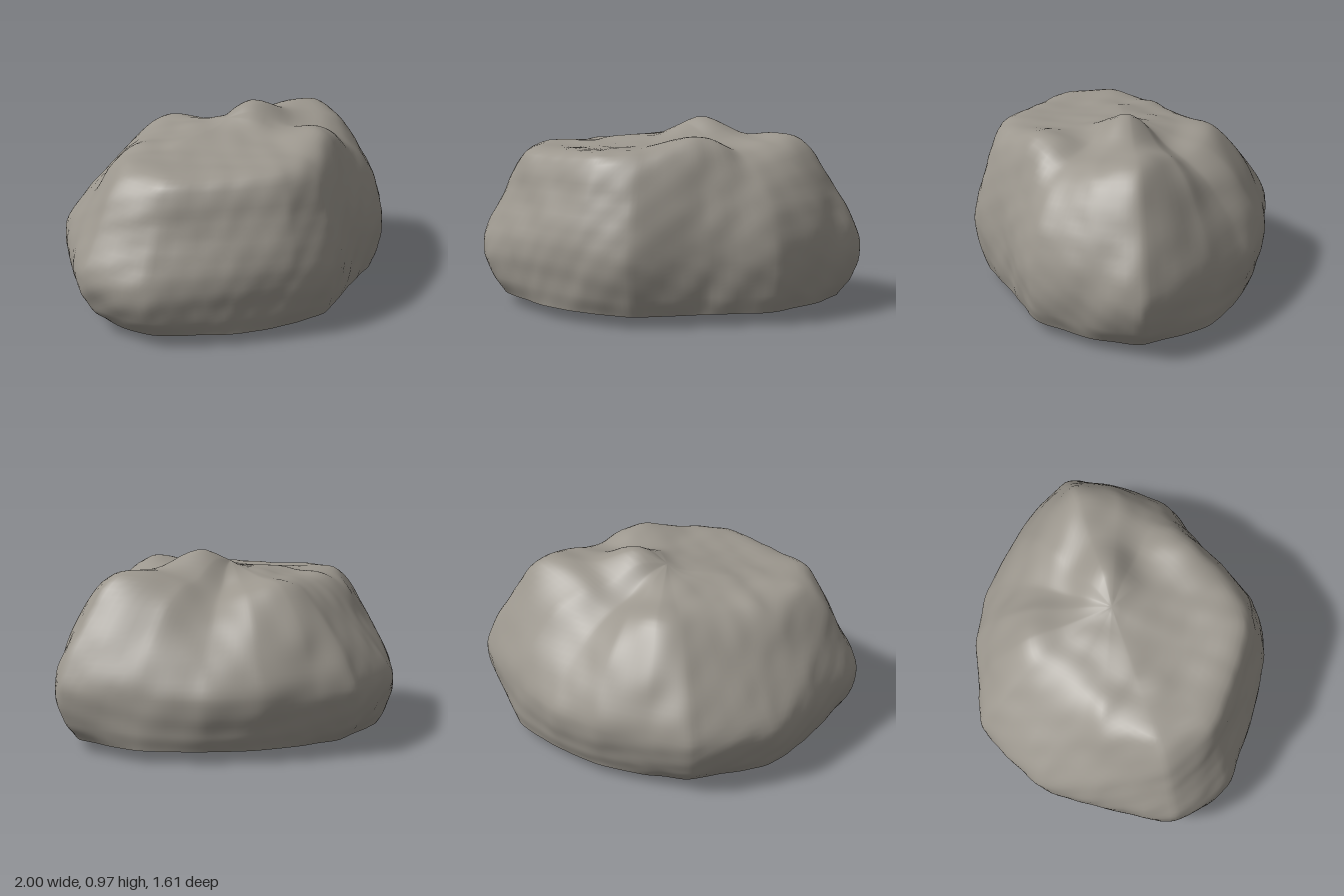
import * as THREE from 'three';
import { mergeVertices } from 'three/addons/utils/BufferGeometryUtils.js';

// Upright sections around the boulder:
// [angle from +x towards +z, radius at base, at belly, at shoulder, at rim, rim height]
const SECTIONS = [
  [3, 0.88, 1.00, 0.88, 0.67, 0.85],
  [22, 0.83, 0.89, 0.82, 0.65, 0.83],
  [42, 0.78, 0.84, 0.76, 0.58, 0.80],
  [67, 0.69, 0.72, 0.67, 0.56, 0.83],
  [95, 0.74, 0.80, 0.74, 0.61, 0.83],
  [113, 0.76, 0.81, 0.77, 0.66, 0.82],
  [135, 0.80, 0.84, 0.77, 0.67, 0.81],
  [160, 0.88, 0.96, 0.84, 0.75, 0.80],
  [180, 0.87, 1.01, 0.88, 0.73, 0.81],
  [203, 0.80, 0.87, 0.73, 0.55, 0.81],
  [225, 0.77, 0.85, 0.65, 0.44, 0.80],
  [255, 0.71, 0.83, 0.67, 0.48, 0.79],
  [271, 0.67, 0.75, 0.64, 0.46, 0.81],
  [293, 0.68, 0.73, 0.60, 0.41, 0.79],
  [315, 0.71, 0.76, 0.57, 0.37, 0.77],
  [338, 0.80, 0.83, 0.70, 0.48, 0.82],
];
// Humps and dips on the crown: [x, z, height, spread]
const HUMPS = [[0.17, 0.04, 0.11, 0.11], [0.22, 0.42, 0.055, 0.12], [0.14, 0.21, -0.02, 0.06],
  [-0.05, -0.33, 0.025, 0.13], [0.27, -0.27, -0.035, 0.13], [0.45, 0.05, 0.02, 0.15]];
const LEVELS = 48, AROUND = 144;

const bump = (x, z) => HUMPS.reduce(
  (sum, [hx, hz, h, s]) => sum + h * Math.exp(-((x - hx) ** 2 + (z - hz) ** 2) / (2 * s * s)), 0);

// Gentle lumps from a few crossed waves
const lumps = (x, y, z) =>
  Math.sin(7 * x + 4 * y + 1.3 * Math.sin(6 * z)) * Math.sin(8 * z - 6 * y + 0.7)
  + 0.7 * Math.sin(15 * x - 9 * z + 2) * Math.sin(13 * y + 11 * z + 1.5 * Math.sin(9 * x))
  + 0.5 * Math.sin(27 * x + 12 * y) * Math.sin(25 * z - 21 * y + 1) * Math.sin(19 * y - 10 * x);

// One section as a smooth curve from base edge to crown
function sectionCurve([deg, base, belly, shoulder, rim, top]) {
  const a = THREE.MathUtils.degToRad(deg);
  const at = (r, y) => new THREE.Vector3(r * Math.cos(a), y, r * Math.sin(a));
  return new THREE.CatmullRomCurve3([
    at(base, 0.06), at(base + (belly - base) * 0.6, 0.15), at(belly, 0.34), at(shoulder, 0.6),
    at(rim, top), at(rim * 0.55, top * 0.5 + 0.435), at(0, 0.88),
  ]);
}

// Skin over closed loops listed from the bottom up
function skin(loops) {
  const n = loops[0].length, pos = [], index = [];
  loops.forEach((loop) => loop.forEach((p) => pos.push(p.x, p.y, p.z)));
  for (let i = 0; i < loops.length - 1; i++) {
    for (let j = 0; j < n; j++) {
      const a = i * n + j, b = i * n + (j + 1) % n;
      index.push(a, a + n, b, b, a + n, b + n);
    }
  }
  let geo = new THREE.BufferGeometry();
  geo.setAttribute('position', new THREE.Float32BufferAttribute(pos, 3));
  geo.setIndex(index);
  geo = mergeVertices(geo, 1e-5);
  geo.computeVertexNormals();
  return geo;
}

export function createModel() {
  const stone = new THREE.MeshStandardMaterial({ color: 0x9c978e });
  stone.name = 'warm grey stone';
  const curves = SECTIONS.map(sectionCurve);

  // Weathered sides and crown
  const loops = [];
  for (let i = 0; i <= LEVELS; i++) {
    const ring = new THREE.CatmullRomCurve3(
      curves.map((c) => c.getPoint(i / LEVELS)), true, 'catmullrom', 0.3);
    const loop = ring.getPoints(AROUND).slice(0, AROUND);
    loop.forEach((p) => {
      const n = lumps(p.x, p.y, p.z), grow = 1 + 0.011 * n;
      const crown = THREE.MathUtils.smoothstep(p.y, 0.65, 0.85);
      p.x *= grow;
      p.z *= grow;
      p.y += crown * (bump(p.x, p.z) + 0.007 * n);
    });
    loops.push(loop);
  }

  // Shallow underside, lowest near the middle
  const under = [];
  for (let i = 0; i <= 8; i++) {
    const t = i / 8;
    under.push(loops[0].map((p) => new THREE.Vector3(
      0.1 + (p.x - 0.1) * t, 0.06 * t ** 1.8, 0.1 + (p.z - 0.1) * t)));
  }

  const group = new THREE.Group();
  group.name = 'boulder';
  [['weatheredSides', loops], ['underside', under]].forEach(([name, rings]) => {
    const mesh = new THREE.Mesh(skin(rings), stone);
    mesh.name = name;
    group.add(mesh);
  });

  // Centre over the origin
  const mid = new THREE.Box3().setFromObject(group).getCenter(new THREE.Vector3());
  group.children.forEach((m) => m.geometry.translate(-mid.x, 0, -mid.z));
  return group;
}
